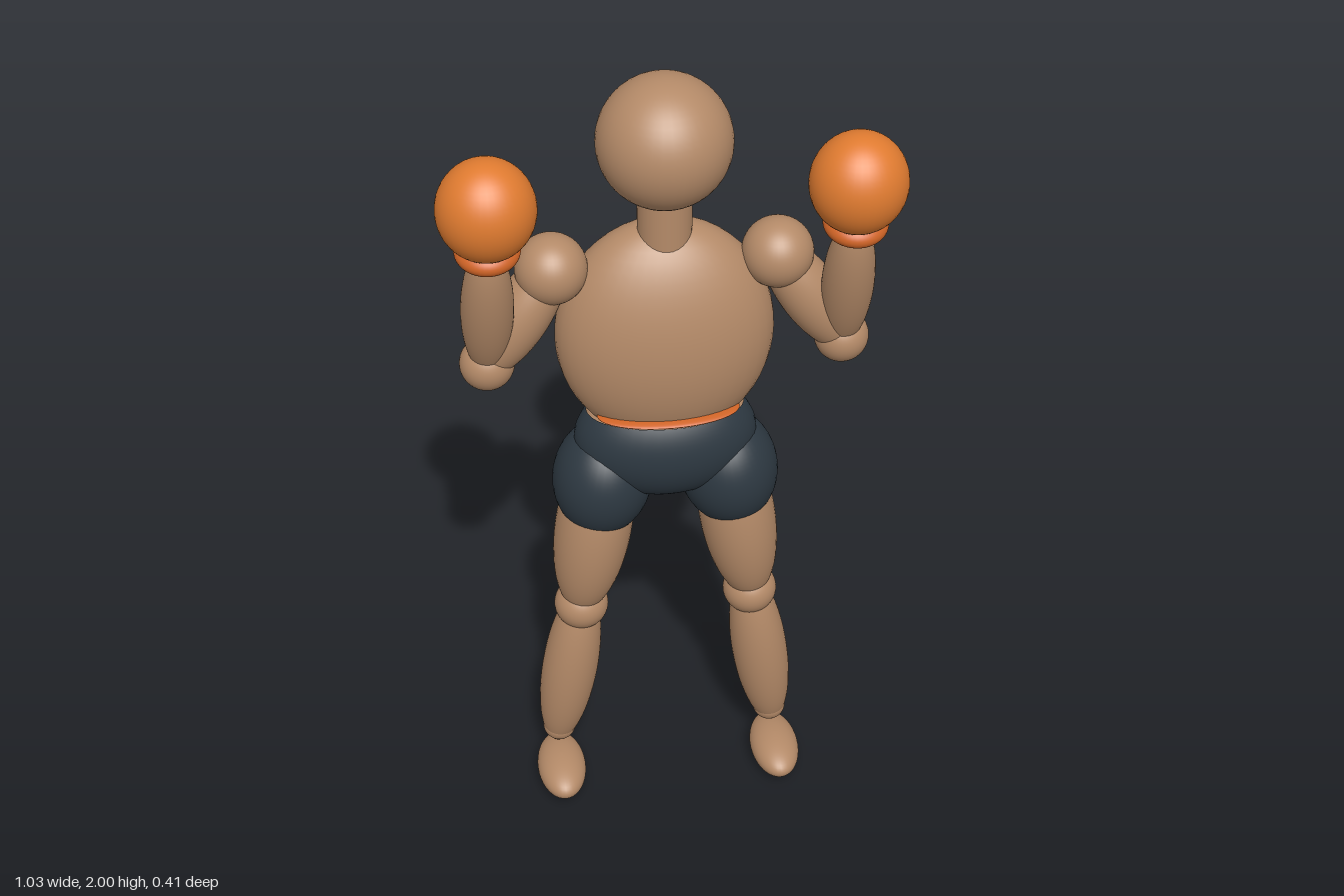
import * as THREE from 'three';

const mat = (name, color, side = THREE.FrontSide) => {
  const m = new THREE.MeshStandardMaterial({ color, side });
  m.name = name;
  return m;
};

export function createModel() {
  const skin = mat('skin', 0xb48a68);
  const glove = mat('glove orange', 0xe07b30);
  const trim = mat('trim orange', 0xd06426);
  const cloth = mat('shorts navy', 0x2d3841, THREE.DoubleSide);
  const root = new THREE.Group();
  root.name = 'boxer';

  // Ellipsoid, optionally cut open between two polar angles
  const blob = (parent, name, material, pos, radii, from = 0, to = Math.PI) => {
    const mesh = new THREE.Mesh(new THREE.SphereGeometry(1, 40, 28, 0, Math.PI * 2, from, to - from), material);
    mesh.name = name;
    mesh.position.set(...pos);
    mesh.scale.set(...radii);
    parent.add(mesh);
    return mesh;
  };
  // Ellipsoid muscle stretched along the line between two joints
  const limb = (parent, name, a, b, rx, rz, overlap) => {
    const p = new THREE.Vector3(...a), q = new THREE.Vector3(...b);
    const mid = p.clone().add(q).multiplyScalar(0.5);
    const dir = q.clone().sub(p);
    const mesh = blob(parent, name, skin, mid.toArray(), [rx, dir.length() / 2 + overlap, rz]);
    mesh.quaternion.setFromUnitVectors(new THREE.Vector3(0, 1, 0), dir.normalize());
    return mesh;
  };

  // Head, neck and trunk
  blob(root, 'head', skin, [0, 1.847, -0.05], [0.153, 0.153, 0.153]);
  const neck = new THREE.Mesh(new THREE.CylinderGeometry(0.062, 0.062, 0.16, 32), skin);
  neck.name = 'neck';
  neck.position.set(0, 1.66, -0.05);
  root.add(neck);
  blob(root, 'torso', skin, [0, 1.35, -0.052], [0.255, 0.288, 0.143]).rotation.x = -0.05;
  blob(root, 'pelvis', skin, [0, 1.06, -0.04], [0.212, 0.15, 0.129]).rotation.x = -0.07;

  // Shorts and waistband
  blob(root, 'shortsHips', cloth, [0, 1.06, -0.04], [0.218, 0.155, 0.133], 1.03).rotation.x = -0.07;
  blob(root, 'waistband', trim, [0, 1.163, 0.015], [0.168, 0.012, 0.07]);

  for (const s of [1, -1]) {
    const side = new THREE.Group();
    side.name = s > 0 ? 'leftLimbs' : 'rightLimbs';
    root.add(side);

    // Leg
    const knee = [s * 0.212, 0.555, -0.035], ankle = [s * 0.276, 0.125, -0.057];
    limb(side, 'thigh', [s * 0.145, 1.0, -0.04], [s * 0.208, 0.6, -0.036], 0.093, 0.1, 0.06);
    const leg = blob(side, 'shortsLeg', cloth, [s * 0.152, 0.945, -0.04], [0.12, 0.15, 0.125], 0, 2.32);
    leg.rotation.z = s * 0.13;
    blob(side, 'knee', skin, knee, [0.067, 0.065, 0.067]);
    limb(side, 'shin', knee, ankle, 0.07, 0.071, 0.052);
    blob(side, 'ankle', skin, ankle, [0.042, 0.042, 0.042]);

    // Foot with a flattened sole
    const foot = blob(side, 'foot', skin, [s * 0.28, 0.043, 0.013], [0.062, 0.046, 0.115]);
    const pos = foot.geometry.attributes.position;
    for (let i = 0; i < pos.count; i++) pos.setY(i, Math.max(pos.getY(i), -0.935));
    foot.geometry.computeVertexNormals();

    // Arm
    const shoulder = [s * 0.258, 1.542, -0.045], elbow = [s * 0.413, 1.305, -0.035];
    blob(side, 'shoulder', skin, shoulder, [0.083, 0.083, 0.083]);
    limb(side, 'upperArm', shoulder, elbow, 0.07, 0.07, 0.035);
    blob(side, 'elbow', skin, elbow, [0.064, 0.064, 0.064]);
    limb(side, 'forearm', elbow, [s * 0.405, 1.675, 0.08], 0.06, 0.06, 0.02);

    // Boxing glove
    blob(side, 'gloveCuff', trim, [s * 0.405, 1.685, 0.083], [0.073, 0.037, 0.073]).rotation.x = 0.2;
    blob(side, 'glove', glove, [s * 0.404, 1.797, 0.099], [0.11, 0.118, 0.104]);
  }
  return root;
}
